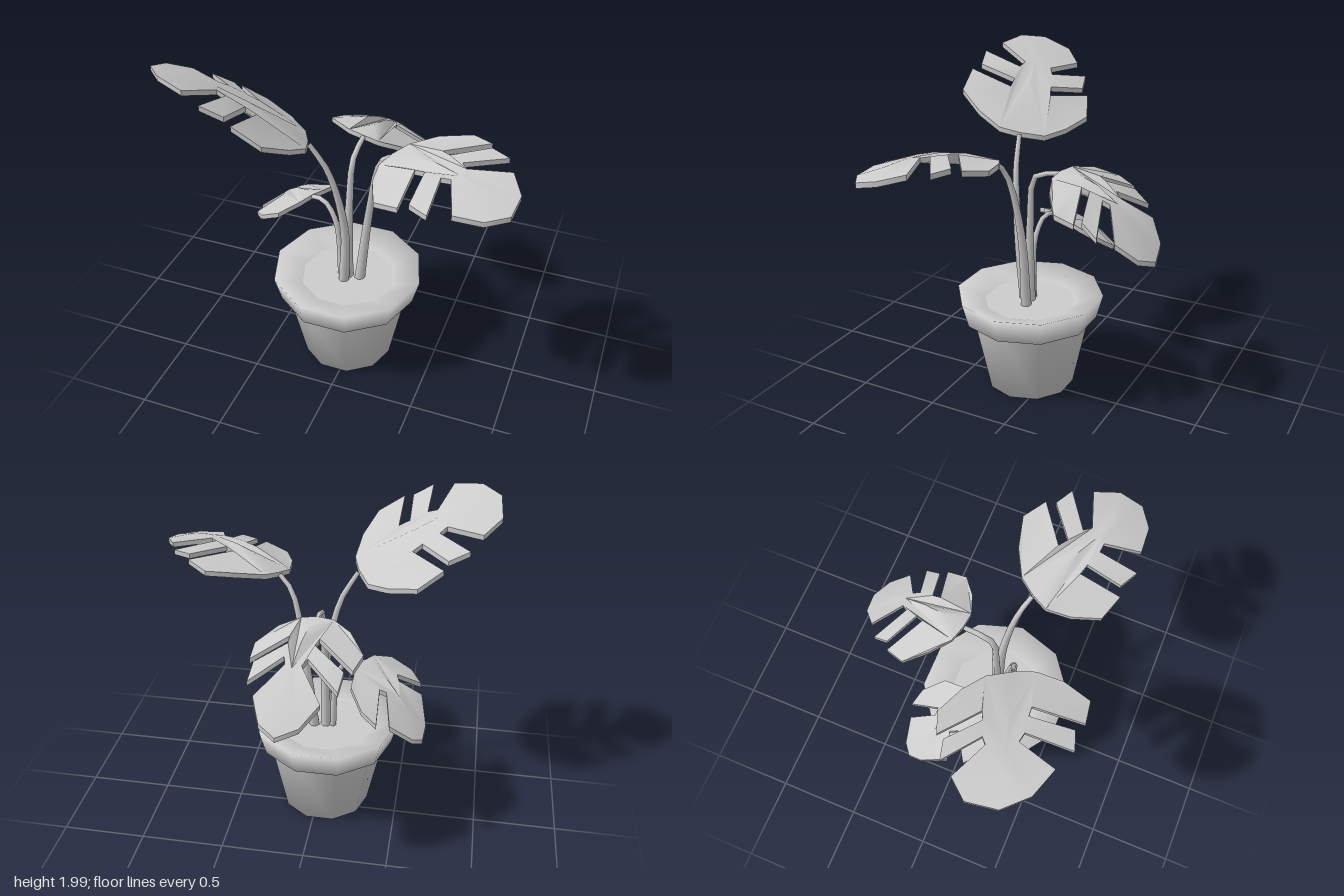
import * as THREE from 'three';
import { toCreasedNormals } from 'three/addons/utils/BufferGeometryUtils.js';

const material = new THREE.MeshStandardMaterial({ color: 0xcccccc });
const THICKNESS = 0.03;

function addMesh(parent, name, geometry) {
  const mesh = new THREE.Mesh(geometry, material);
  mesh.name = name;
  parent.add(mesh);
}

const vectors = (points) => points.map((p) => new THREE.Vector2(...p));

// Half outlines as [distance along midrib, distance from midrib]
const bigLeaf = {
  length: 0.81,
  half: [[0, 0.1], [0.07, 0.22], [0.19, 0.33], [0.34, 0.31], [0.25, 0.09], [0.31, 0.08],
    [0.38, 0.27], [0.5, 0.27], [0.41, 0.07], [0.46, 0.05], [0.6, 0.2], [0.74, 0.12]],
};
const youngLeaf = {
  length: 0.46,
  half: [[0, 0.09], [0.05, 0.21], [0.17, 0.26], [0.265, 0.235], [0.185, 0.09], [0.22, 0.065],
    [0.32, 0.17], [0.43, 0.07]],
};

// One side of a blade: the half outline widened, leaned toward the tip and moved off the midrib
function sideOutline(half, stretch, sign, { width, lean, margin = 0 }) {
  return half.map(([u, v]) => {
    const w = v * width + margin;
    return new THREE.Vector2(u * stretch + w * lean, sign * w);
  });
}

// Notched blade lifted by a curve = [base height, rise, bend along, tilt, droop across]
function bladeGeometry({ type, base, tip, left, right, curve }) {
  const a = new THREE.Vector2(...base);
  const d = new THREE.Vector2(...tip).sub(a);
  const length = d.length();
  d.normalize();
  const [y0, rise, bend, tilt, droop] = curve;
  const lift = ({ x: u, y: v }, drop = 0) => [
    a.x + d.x * u + d.y * v,
    y0 + rise * u + bend * u * u + tilt * v + droop * v * v - drop,
    a.y + d.y * u - d.x * v,
  ];
  const stretch = length / type.length;
  const L = sideOutline(type.half, stretch, 1, left);
  const R = sideOutline(type.half, stretch, -1, right);
  const [start, ...rib] = [0, 0.2, 0.4, 0.6, 0.8, 1].map((t) => new THREE.Vector2(t * length, 0));
  const end = rib[rib.length - 1];
  const positions = [];
  const tri = (p, q, r) => positions.push(...p, ...q, ...r);

  // upper and lower faces of each half
  for (const side of [L, R]) {
    const loop = [start, ...side, ...[...rib].reverse()];
    for (const face of THREE.ShapeUtils.triangulateShape(loop, [])) {
      let [p, q, r] = face.map((i) => loop[i]);
      if (q.clone().sub(p).cross(r.clone().sub(p)) < 0) [q, r] = [r, q];
      tri(lift(p), lift(q), lift(r));
      tri(lift(p, THICKNESS), lift(r, THICKNESS), lift(q, THICKNESS));
    }
  }
  // edge of the blade
  const outline = [start, ...R, end, ...[...L].reverse()];
  outline.forEach((p, i) => {
    const q = outline[(i + 1) % outline.length];
    tri(lift(p, THICKNESS), lift(q, THICKNESS), lift(q));
    tri(lift(p, THICKNESS), lift(q), lift(p));
  });
  const geometry = new THREE.BufferGeometry();
  geometry.setAttribute('position', new THREE.Float32BufferAttribute(positions, 3));
  return toCreasedNormals(geometry, 0.7);
}

// Tapered stem from the soil through its bends to the base of the blade
function stemGeometry({ root, bends, base, curve, thick }) {
  const points = [[root[0], 0.53, root[1]], ...bends, [base[0], curve[0] - 0.015, base[1]]];
  const path = new THREE.CatmullRomCurve3(points.map((p) => new THREE.Vector3(...p)));
  const steps = 12, sides = 7;
  const geometry = new THREE.TubeGeometry(path, steps, 1, sides);
  const pos = geometry.attributes.position;
  const v = new THREE.Vector3();
  for (let i = 0; i < pos.count; i++) {
    const t = Math.floor(i / (sides + 1)) / steps;
    const c = path.getPointAt(t);
    v.fromBufferAttribute(pos, i).sub(c).multiplyScalar(THREE.MathUtils.lerp(thick, 0.014, t)).add(c);
    pos.setXYZ(i, v.x, v.y, v.z);
  }
  return geometry;
}

const leaves = [
  {
    name: 'leftLeaf', type: bigLeaf, base: [0.25, 0.19], tip: [0.97, 0.56],
    left: { width: 1.1, lean: 0.15 }, right: { width: 1, lean: 0.05 },
    curve: [1.53, 0.46, -0.53, 0.185, -0.55],
    root: [0.03, 0.1], bends: [[0.09, 1.05, 0.1], [0.17, 1.43, 0.15]], thick: 0.033,
  },
  {
    name: 'backLeaf', type: bigLeaf, base: [-0.02, -0.1], tip: [0.1, -0.74],
    left: { width: 1, lean: 0.1 }, right: { width: 0.92, lean: 0.1 },
    curve: [1.42, 0.2, -1.22, 0.11, -0.99],
    root: [-0.04, 0.11], bends: [[-0.03, 1.1, 0.1], [-0.02, 1.36, 0.06]], thick: 0.033,
  },
  {
    name: 'rightLeaf', type: bigLeaf, base: [-0.2, 0.26], tip: [-0.97, 0.48],
    left: { width: 1.18, lean: -0.03 }, right: { width: 0.95, lean: 0.22, margin: 0.05 },
    curve: [1.55, 0.88, -0.45, 0.3, -0.4],
    root: [-0.05, 0.15], bends: [[-0.03, 0.95, 0.18], [-0.1, 1.35, 0.23]], thick: 0.033,
  },
  {
    name: 'smallLeaf', type: youngLeaf, base: [-0.27, 0.07], tip: [-0.65, -0.2],
    left: { width: 1.05, lean: -0.12 }, right: { width: 0.95, lean: 0.15 },
    curve: [1.06, -0.03, -1.48, 0, -1.2],
    root: [-0.08, 0.11], bends: [[-0.11, 0.93, 0.11], [-0.19, 1.05, 0.09]], thick: 0.022,
  },
];

export function createModel() {
  const plant = new THREE.Group();
  plant.name = 'pottedPlant';

  // ten-sided pot with an overhanging rim
  const pot = new THREE.Group();
  pot.name = 'pot';
  pot.position.set(-0.04, 0, 0.11);
  plant.add(pot);
  const lathe = (profile) => new THREE.LatheGeometry(vectors(profile), 10, Math.PI / 2);
  addMesh(pot, 'potBody', lathe([[0, 0], [0.27, 0], [0.365, 0.46]]));
  addMesh(pot, 'potRim', lathe([[0.36, 0.46], [0.41, 0.46], [0.45, 0.61], [0.27, 0.545]]));
  addMesh(pot, 'soil', lathe([[0.28, 0.55], [0, 0.55]]));

  // leaves on their stems
  for (const leaf of leaves) {
    const group = new THREE.Group();
    group.name = leaf.name;
    addMesh(group, 'blade', bladeGeometry(leaf));
    addMesh(group, 'stem', stemGeometry(leaf));
    plant.add(group);
  }
  return plant;
}
